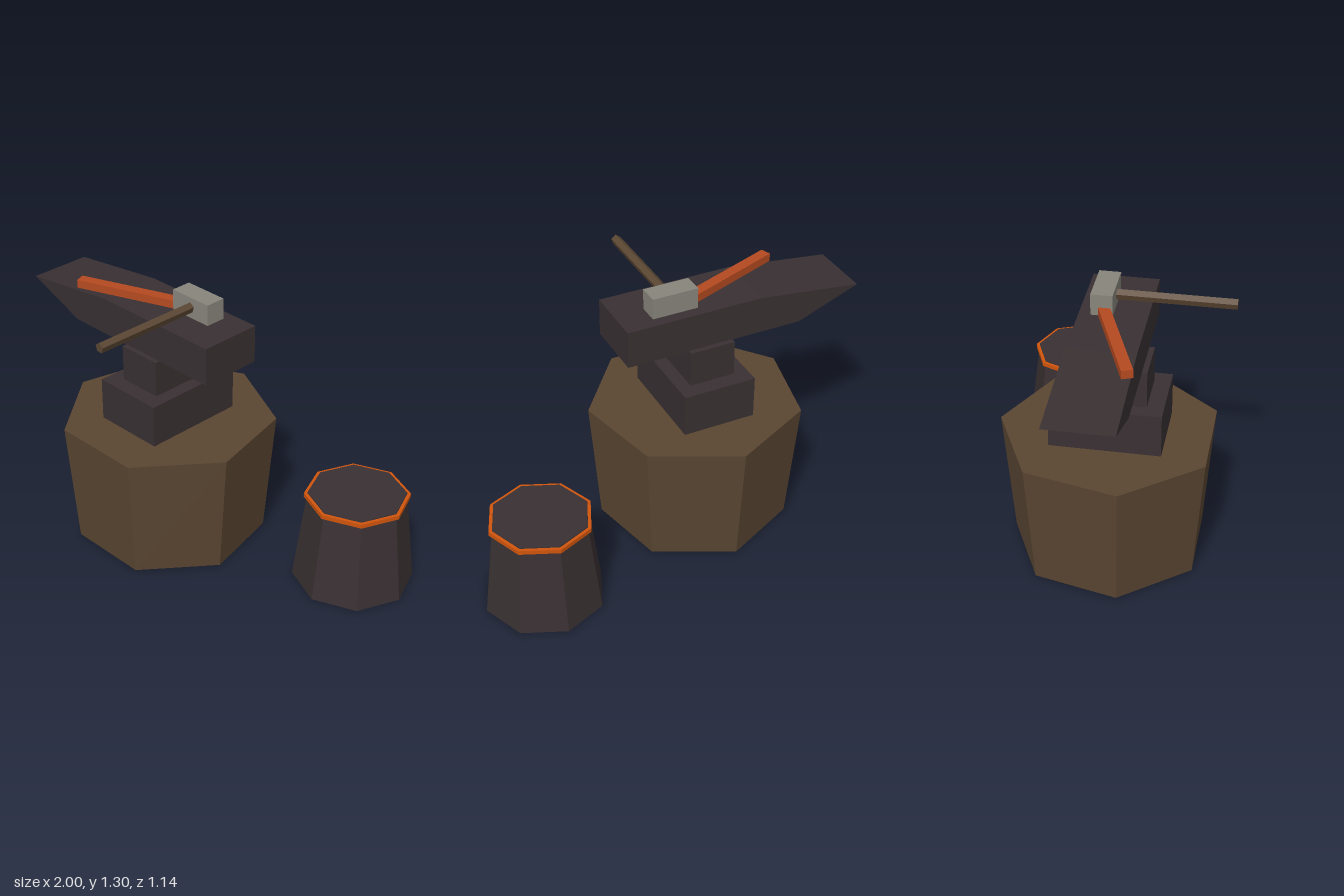
import * as THREE from 'three';

const material = (name, color) => {
  const m = new THREE.MeshStandardMaterial({ color });
  m.name = name;
  m.flatShading = true;
  return m;
};

export function createModel() {
  const model = new THREE.Group();
  model.name = 'smithy';
  const wood = material('wood', 0x5a4632);
  const iron = material('dark iron', 0x393032);
  const steel = material('steel', 0x88857c);
  const hot = material('hot metal', 0xb54a20);
  const ember = material('ember rim', 0xd0540c);

  const add = (parent, name, geometry, mat, x = 0, y = 0, z = 0) => {
    const mesh = new THREE.Mesh(geometry, mat);
    mesh.name = name;
    mesh.position.set(x, y, z);
    parent.add(mesh);
    return mesh;
  };
  const group = (name) => {
    const g = new THREE.Group();
    g.name = name;
    model.add(g);
    return g;
  };

  // Seven-sided stump, wider at the top
  const stump = add(model, 'stump', new THREE.CylinderGeometry(0.518, 0.467, 0.622, 7), wood, -0.225, 0.318, 0.028);
  stump.rotation.y = Math.PI;

  // Anvil: foot, waist and a body with a wedge horn
  const anvil = group('anvil');
  add(anvil, 'anvilFoot', new THREE.BoxGeometry(0.36, 0.21, 0.515), iron, -0.227, 0.734, 0.031);
  add(anvil, 'anvilWaist', new THREE.BoxGeometry(0.225, 0.18, 0.36), iron, -0.225, 0.926, 0.031);
  const profile = new THREE.Shape([
    [-1, 1.135], [-0.69, 1.014], [0.19, 1.014], [0.19, 1.198], [-0.48, 1.198],
  ].map(([x, y]) => new THREE.Vector2(x, y)));
  const body = new THREE.ExtrudeGeometry(profile, { depth: 0.31, bevelEnabled: false });
  add(anvil, 'anvilBody', body, iron, 0, 0, -0.124);

  // Hammer resting on the anvil face
  const hammer = group('hammer');
  add(hammer, 'hammerHead', new THREE.BoxGeometry(0.225, 0.103, 0.1), steel, -0.071, 1.249, -0.02);
  const handle = add(hammer, 'hammerHandle', new THREE.CylinderGeometry(0.025, 0.025, 0.56, 5), wood, -0.071, 1.251, 0.291);
  handle.rotation.x = -Math.PI / 2;

  // Glowing bar lying at an angle
  const bar = add(model, 'hotBar', new THREE.BoxGeometry(0.6, 0.04, 0.052), hot, -0.39, 1.218, 0.07);
  bar.rotation.y = 0.36;

  // Eight-sided quench tub with a glowing rim
  const tub = group('tub');
  tub.position.set(0.708, 0, -0.285);
  add(tub, 'tubBody', new THREE.CylinderGeometry(0.23, 0.288, 0.467, 8), iron, 0, 0.2335, 0);
  const rimProfile = [[0.22, 0.441], [0.247, 0.441], [0.247, 0.462], [0.22, 0.462]]
    .map(([r, y]) => new THREE.Vector2(r, y));
  add(tub, 'tubRim', new THREE.LatheGeometry(rimProfile, 8), ember);

  return model;
}
